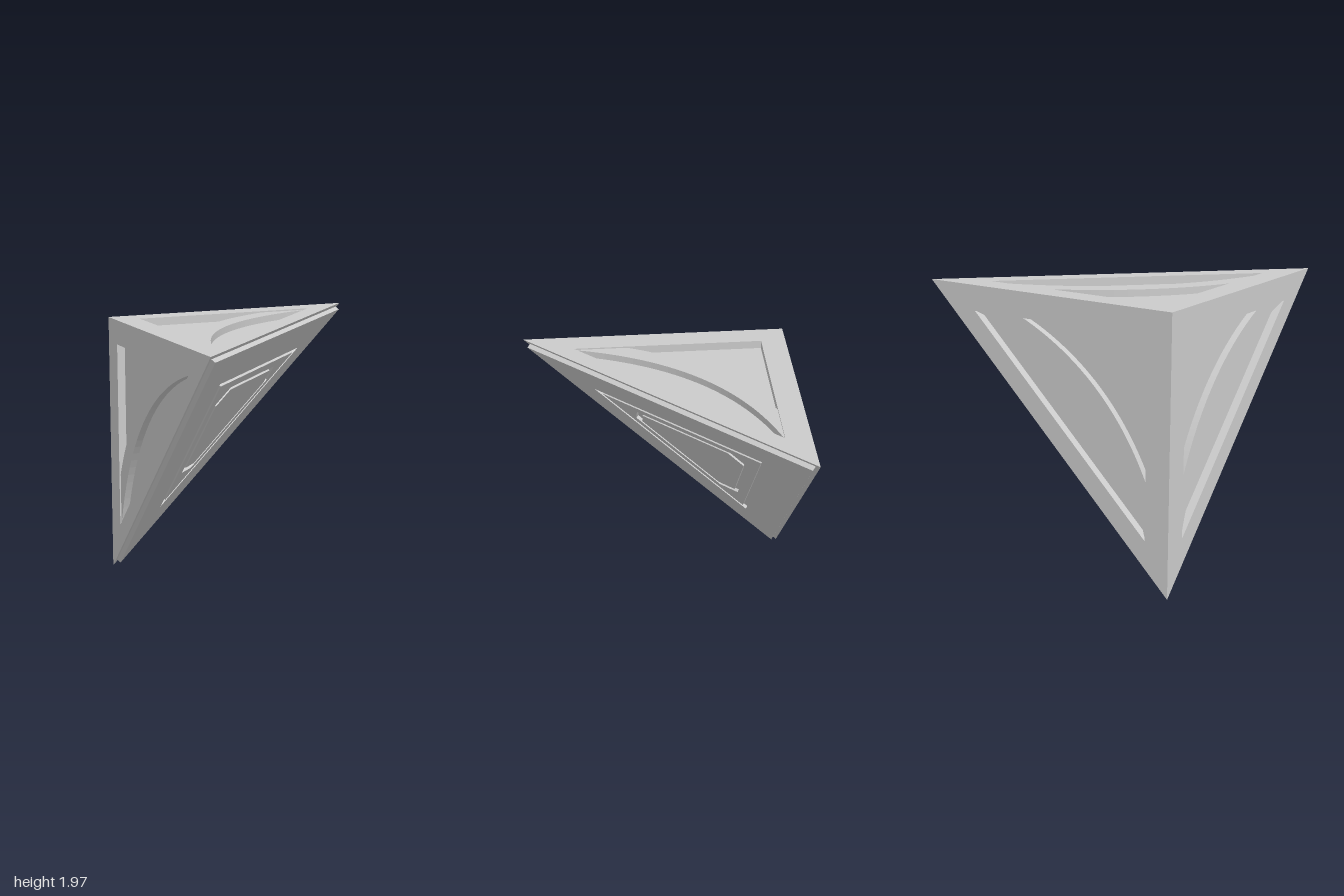
import * as THREE from 'three';
import { mergeGeometries } from 'three/addons/utils/BufferGeometryUtils.js';

const V3 = (x, y, z) => new THREE.Vector3(x, y, z);
const V2 = (x, y) => new THREE.Vector2(x, y);

// The square corner and the three tips of the wedge
const corner = V3(-0.99, 1.96, -0.965);
const tipDown = V3(-0.99, 0, -1);
const tipRight = V3(0.98, 1.965, -0.965);
const tipFront = V3(-0.99, 1.93, 1);

const material = new THREE.MeshStandardMaterial({
  color: 0xcccccc, flatShading: true, side: THREE.DoubleSide,
});

// Quad strip between two rows of points
function strip(a, b, closed) {
  const pos = [];
  const count = closed ? a.length : a.length - 1;
  for (let i = 0; i < count; i++) {
    const j = (i + 1) % a.length;
    for (const p of [a[i], a[j], b[j], a[i], b[j], b[i]]) pos.push(p.x, p.y, p.z);
  }
  const g = new THREE.BufferGeometry();
  g.setAttribute('position', new THREE.Float32BufferAttribute(pos, 3));
  g.computeVertexNormals();
  return g;
}

// Flat polygon at height w, with an optional hole
function flat(points, w, hole) {
  const shape = new THREE.Shape(points);
  if (hole) shape.holes.push(new THREE.Path(hole));
  const g = new THREE.ShapeGeometry(shape).toNonIndexed();
  g.deleteAttribute('uv');
  return g.translate(0, 0, w);
}

// Upright wall following a 2D line, from height w0 to w1
function wall(points, w0, w1, closed) {
  const at = (w) => points.map((p) => V3(p.x, p.y, w));
  return strip(at(w0), at(w1), closed);
}

function addMesh(parent, name, parts, matrix) {
  const geometry = mergeGeometries(parts);
  if (matrix) geometry.applyMatrix4(matrix);
  geometry.computeVertexNormals();
  const mesh = new THREE.Mesh(geometry, material);
  mesh.name = name;
  parent.add(mesh);
}

// One right-angled side: frame, sunken floor and curved ridge
function sidePanel(name, p, q) {
  const group = new THREE.Group();
  group.name = name;
  const u = p.clone().sub(corner);
  const v = q.clone().sub(corner);
  const n = u.clone().cross(v).normalize();
  const matrix = new THREE.Matrix4().makeBasis(u, v, n).setPosition(corner);

  const near = 0.093, far = 0.807, floor = -0.06, top = -0.01;
  const outline = [V2(0, 0), V2(1, 0), V2(0, 1)];
  const recess = [V2(near, near), V2(far, near), V2(near, far)];
  const arc = (end) => new THREE.QuadraticBezierCurve(
    V2(end, near), V2(0.25, 0.25), V2(near, end)).getPoints(28);
  const outerArc = arc(far);
  const innerArc = arc(0.604).reverse();

  addMesh(group, 'sideFrame', [
    flat(outline, 0, recess),
    wall([...recess].reverse(), 0, floor, true),
  ], matrix);
  addMesh(group, 'recessFloor', [flat(recess, floor)], matrix);
  addMesh(group, 'curvedRidge', [
    flat([...outerArc, ...innerArc], top),
    wall(outerArc, floor, top),
    wall(innerArc, floor, top),
  ], matrix);
  return group;
}

// Sloping front: raised plate with a triangular and a six-sided groove
function frontPlate() {
  const tips = [tipDown, tipRight, tipFront];
  const centre = V3(0, 0, 0);
  tips.forEach((t) => centre.addScaledVector(t, 1 / 3));
  const n = tipRight.clone().sub(tipDown)
    .cross(tipFront.clone().sub(tipDown)).normalize();

  // Scaled triangle with cut corners, lifted off the base plane
  const loop = (scale, lift, cut) => tips.flatMap((t, i) => {
    const prev = tips[(i + 2) % 3], next = tips[(i + 1) % 3];
    return [prev, next].map((o) => t.clone().lerp(o, cut).sub(centre)
      .multiplyScalar(scale).add(centre).addScaledVector(n, lift));
  });

  const high = 0.035, low = 0.01, cut = 0.14;
  const bands = (steps) => steps.slice(1).map((s, i) =>
    strip(loop(...steps[i]), loop(...s), true));

  const group = new THREE.Group();
  group.name = 'frontPlate';
  addMesh(group, 'plateRim', bands([[1, 0, 0], [0.9625, 0, 0], [0.9625, high, 0]]));
  addMesh(group, 'outerPlate', bands([[0.9625, high, 0], [0.59, high, 0]]));
  addMesh(group, 'triangleGroove', bands([
    [0.59, high, 0], [0.59, low, 0], [0.546, low, 0], [0.546, high, 0]]));
  addMesh(group, 'middlePlate', bands([[0.546, high, 0], [0.45, high, cut]]));
  addMesh(group, 'sixSidedGroove', bands([
    [0.45, high, cut], [0.45, low, cut], [0.41, low, cut], [0.41, high, cut]]));
  addMesh(group, 'innerPlate', bands([[0.41, high, cut], [0, high, cut]]));
  return group;
}

export function createModel() {
  const model = new THREE.Group();
  model.name = 'cornerWedge';
  model.add(
    sidePanel('topSide', tipFront, tipRight),
    sidePanel('backSide', tipRight, tipDown),
    sidePanel('rightSide', tipDown, tipFront),
    frontPlate(),
  );
  return model;
}
